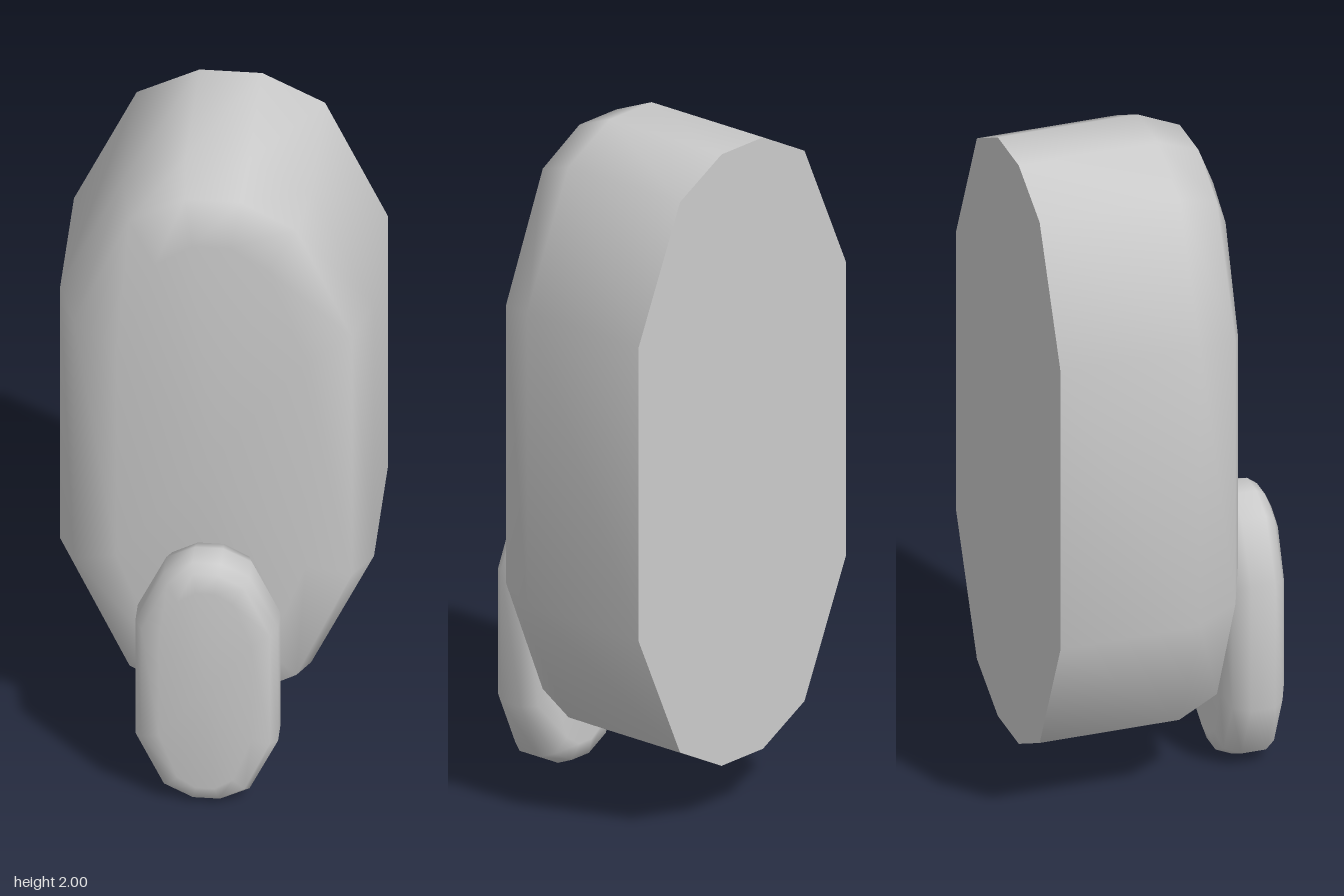
import * as THREE from 'three';

// Twelve-sided elongated outline, as fractions of the half width and half height
const QUARTER = [[1, 0.48], [0.6, 0.9], [0.2, 1]];
const OUTLINE = [
  ...QUARTER,
  ...QUARTER.map(([x, y]) => [-x, y]).reverse(),
  ...QUARTER.map(([x, y]) => [-x, -y]),
  ...QUARTER.map(([x, y]) => [x, -y]).reverse(),
];

// Lofts the outline through rings of [z, inset], back to front, and closes both ends.
// With sharpBack the back cap keeps a hard edge.
function pillGeometry(halfW, halfH, rings, sharpBack) {
  const n = OUTLINE.length;
  const pos = [];
  const index = [];
  const addRing = ([z, inset]) => {
    const start = pos.length / 3;
    for (const [x, y] of OUTLINE) pos.push(x * (halfW - inset), y * (halfH - inset), z);
    return start;
  };
  const addCap = (start, z, front) => {
    const centre = pos.length / 3;
    pos.push(0, 0, z);
    for (let j = 0; j < n; j++) {
      const a = start + j, b = start + (j + 1) % n;
      index.push(centre, front ? a : b, front ? b : a);
    }
  };

  const starts = rings.map(addRing);
  for (let i = 0; i + 1 < starts.length; i++) {
    for (let j = 0; j < n; j++) {
      const k = (j + 1) % n;
      const a = starts[i] + j, b = starts[i] + k;
      const c = starts[i + 1] + k, d = starts[i + 1] + j;
      index.push(a, b, c, a, c, d);
    }
  }
  const last = rings.length - 1;
  addCap(starts[last], rings[last][0], true);
  addCap(sharpBack ? addRing(rings[0]) : starts[0], rings[0][0], false);

  const geometry = new THREE.BufferGeometry();
  geometry.setAttribute('position', new THREE.Float32BufferAttribute(pos, 3));
  geometry.setIndex(index);
  geometry.computeVertexNormals();
  return geometry;
}

export function createModel() {
  const group = new THREE.Group();
  const material = new THREE.MeshStandardMaterial({ color: 0xcccccc });
  const add = (name, geometry, y) => {
    const mesh = new THREE.Mesh(geometry, material);
    mesh.name = name;
    mesh.position.y = y;
    group.add(mesh);
  };

  // Deep body: flat back, straight sides, rounded front rim
  add('body', pillGeometry(0.44, 0.915, [
    [-0.385, 0], [0.028, 0], [0.15, 0.05], [0.202, 0.175],
  ], true), 1.085);

  // Small pad on the lower front, rounded on both faces
  add('frontPad', pillGeometry(0.2, 0.41, [
    [0.196, 0.07], [0.215, 0.02], [0.263, 0], [0.335, 0], [0.363, 0.02], [0.385, 0.07],
  ], false), 0.41);

  return group;
}
